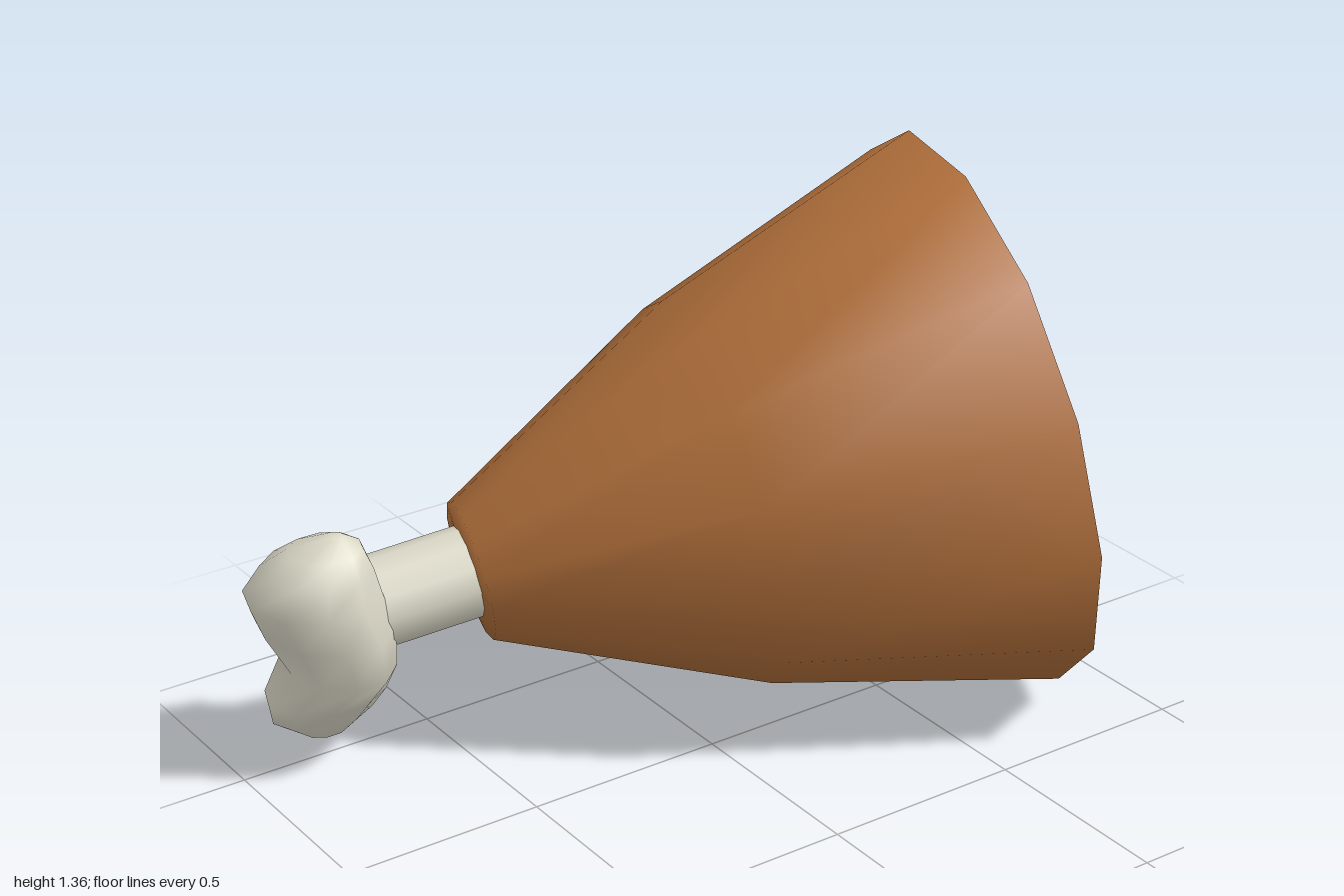
import * as THREE from 'three';

const SIDES = 13;

// closed loft through horizontal rings: [y, centreX, centreZ, radiusX, radiusZ]
function loft(rings, sides) {
  const pos = [], idx = [];
  for (const [y, cx, cz, rx, rz] of rings) {
    for (let i = 0; i < sides; i++) {
      const a = (i / sides) * Math.PI * 2;
      pos.push(cx + rx * Math.sin(a), y, cz + rz * Math.cos(a));
    }
  }
  for (let r = 0; r < rings.length - 1; r++) {
    for (let i = 0; i < sides; i++) {
      const j = (i + 1) % sides;
      const a = r * sides + i, b = r * sides + j;
      idx.push(a, b, b + sides, a, b + sides, a + sides);
    }
  }
  const top = (rings.length - 1) * sides;
  for (let i = 1; i < sides - 1; i++) {
    idx.push(0, i + 1, i, top, top + i, top + i + 1);
  }
  const g = new THREE.BufferGeometry();
  g.setAttribute('position', new THREE.Float32BufferAttribute(pos, 3));
  g.setIndex(idx);
  g.computeVertexNormals();
  return g;
}

function lathe(points) {
  return new THREE.LatheGeometry(points.map(([r, s]) => new THREE.Vector2(r, s)), SIDES);
}

export function createModel() {
  const material = (name, color) => {
    const m = new THREE.MeshStandardMaterial({ color });
    m.name = name;
    return m;
  };
  const skin = material('roasted skin', 0xaf6e3a);
  const meat = material('pink meat', 0xd9555f);
  const bone = material('bone', 0xdcd9c8);

  const model = new THREE.Group();
  model.name = 'hamLeg';
  const add = (parent, name, geometry, mat) => {
    const mesh = new THREE.Mesh(geometry, mat);
    mesh.name = name;
    parent.add(mesh);
    return mesh;
  };

  // tilted group: local +y runs from the cut face to the bone end
  const leg = new THREE.Group();
  leg.name = 'leg';
  const axis = new THREE.Vector3(-0.275, -0.183, 1).normalize();
  const down = new THREE.Vector3(0, -1, 0);
  down.addScaledVector(axis, -down.dot(axis)).normalize();
  const side = new THREE.Vector3().crossVectors(axis, down);
  leg.quaternion.setFromRotationMatrix(new THREE.Matrix4().makeBasis(side, axis, down));
  leg.position.set(0, 0.695, -0.78);
  model.add(leg);

  // skin wraps over the rim and closes around the shaft
  add(leg, 'skin', lathe([
    [0.465, -0.045], [0.7, 0], [0.482, 0.69], [0.172, 1.3], [0.08, 1.31],
  ]), skin);

  // cut face
  add(leg, 'cutMeat', lathe([[0, -0.06], [0.4, -0.056], [0.465, -0.045]]), meat);
  add(leg, 'cutBone', new THREE.CylinderGeometry(0.175, 0.175, 0.05, 20), bone)
    .position.y = -0.07;

  // bone shaft
  add(leg, 'boneShaft', new THREE.CylinderGeometry(0.112, 0.112, 0.45, 12), bone)
    .position.y = 1.43;

  // two-lobed knuckle
  add(model, 'boneKnuckle', loft([
    [0.09, -0.48, 0.79, 0.05, 0.06],
    [0.13, -0.5, 0.785, 0.1, 0.13],
    [0.2, -0.465, 0.79, 0.13, 0.15],
    [0.29, -0.43, 0.77, 0.17, 0.125],
    [0.4, -0.43, 0.8, 0.197, 0.155],
    [0.5, -0.405, 0.84, 0.168, 0.16],
    [0.57, -0.387, 0.835, 0.138, 0.13],
    [0.62, -0.37, 0.82, 0.085, 0.09],
    [0.65, -0.36, 0.8, 0.025, 0.025],
  ], 10), bone);

  return model;
}
